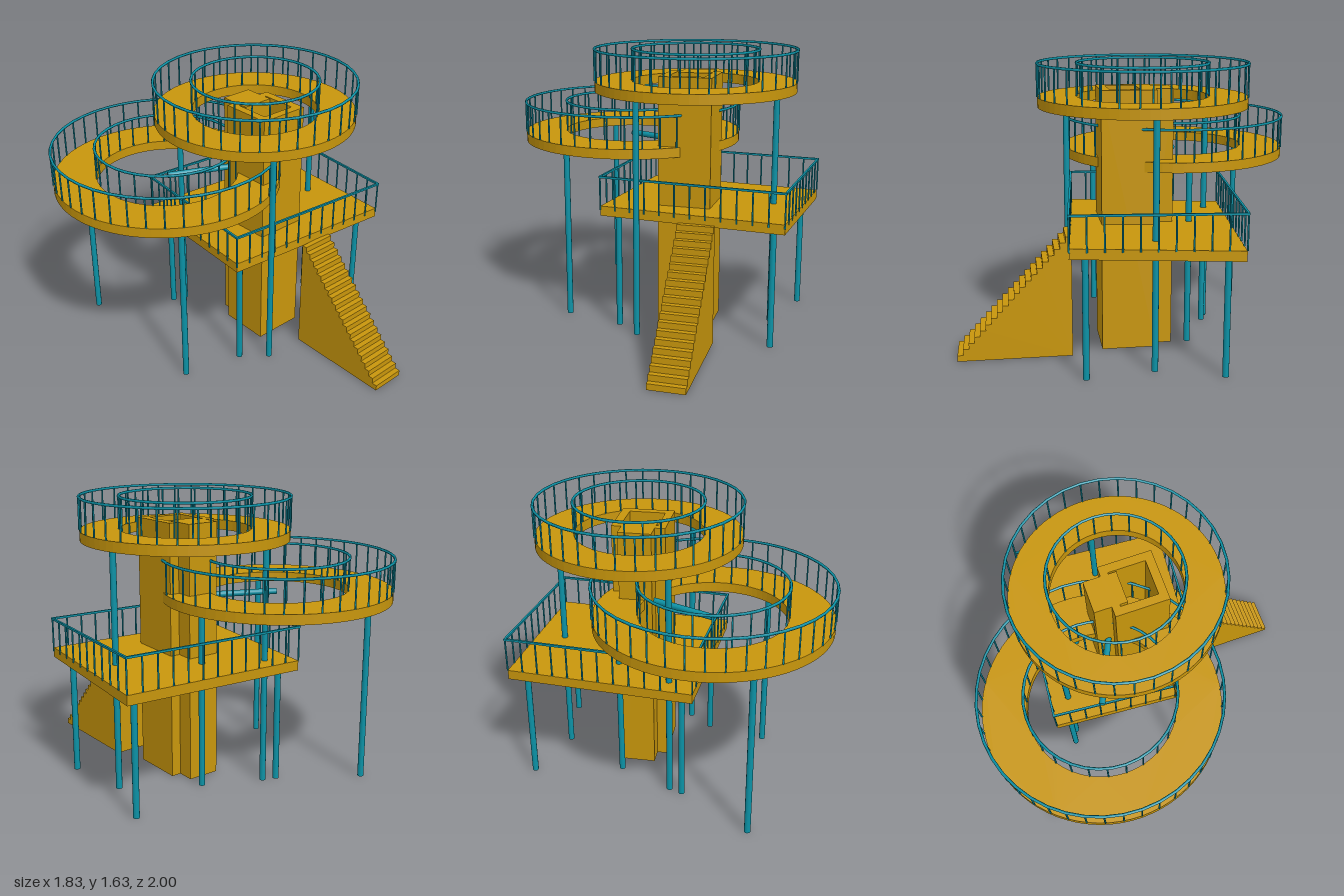
import * as THREE from 'three';

export function createModel() {
  const model = new THREE.Group();
  const gold = new THREE.MeshStandardMaterial({ color: 0xc8960c, flatShading: true });
  gold.name = 'ochre concrete';
  const teal = new THREE.MeshStandardMaterial({ color: 0x0b92a6 });
  teal.name = 'teal steel';

  const add = (name, geometry, material, x, y, z, parent = model) => {
    const mesh = new THREE.Mesh(geometry, material);
    mesh.name = name;
    mesh.position.set(x, y, z);
    parent.add(mesh);
    return mesh;
  };
  // upright round bar from y0 to y1
  const upright = (name, r, sides, x, z, y0, y1, parent) =>
    add(name, new THREE.CylinderGeometry(r, r, y1 - y0, sides), teal, x, (y0 + y1) / 2, z, parent);

  // shape in plan, extruded upward: shape y becomes -z
  const slab = (shape, height, segments = 12) => {
    const g = new THREE.ExtrudeGeometry(shape, { depth: height, bevelEnabled: false, curveSegments: segments });
    return g.rotateX(-Math.PI / 2);
  };
  const rectangle = (Type, x0, x1, z0, z1) =>
    new Type([[x0, -z1], [x1, -z1], [x1, -z0], [x0, -z0]].map(p => new THREE.Vector2(...p)));

  // circular railing: top rail and balusters
  function ringRailing(name, radius, count, y0, y1, parent) {
    const group = new THREE.Group();
    group.name = name;
    parent.add(group);
    const rail = new THREE.TorusGeometry(radius, 0.008, 6, Math.max(36, count)).rotateX(Math.PI / 2);
    add('topRail', rail, teal, 0, y1, 0, group);
    for (let i = 0; i < count; i++) {
      const a = (i / count) * Math.PI * 2;
      upright('baluster', 0.005, 6, radius * Math.cos(a), radius * Math.sin(a), y0, y1, group);
    }
  }

  // ring deck with two railings and three posts
  function ringDeck(name, cx, cz, outer, inner, y0, y1, railY, outerCount, innerCount) {
    const group = new THREE.Group();
    group.name = name;
    group.position.set(cx, 0, cz);
    model.add(group);
    const shape = new THREE.Shape().absarc(0, 0, outer, 0, Math.PI * 2);
    shape.holes.push(new THREE.Path().absarc(0, 0, inner, 0, Math.PI * 2, true));
    add('deck', slab(shape, y1 - y0, 36), gold, 0, y0, 0, group);
    ringRailing('outerRailing', outer, outerCount, y1, railY, group);
    ringRailing('innerRailing', inner, innerCount, y1, railY, group);
    const r = (outer + inner) / 2;
    for (let i = 0; i < 3; i++) {
      const a = (i * Math.PI * 2) / 3;
      upright('post', 0.018, 12, r * Math.cos(a), r * Math.sin(a), 0, y0 + 0.01, group);
    }
  }
  ringDeck('upperRing', 0.22, -0.07, 0.588, 0.37, 1.387, 1.445, 1.627, 36, 24);
  ringDeck('middleRing', -0.24, -0.327, 0.667, 0.417, 1.035, 1.092, 1.274, 42, 26);

  // hollow tower with a solid shaft at the back
  const tower = rectangle(THREE.Shape, 0.062, 0.37, -0.13, 0.18);
  tower.holes.push(rectangle(THREE.Path, 0.11, 0.32, -0.085, 0.13));
  add('tower', slab(tower, 1.49), gold, 0, 0, 0);
  add('rearShaft', new THREE.BoxGeometry(0.19, 1.49, 0.19), gold, 0.217, 0.745, -0.135);

  // level beam from the tower to the centre of the middle ring
  const from = new THREE.Vector3(-0.24, 1.065, -0.327), to = new THREE.Vector3(0.125, 1.065, -0.165);
  const beam = add('beam', new THREE.CylinderGeometry(0.018, 0.018, from.distanceTo(to), 12), teal, 0, 0, 0);
  beam.position.lerpVectors(from, to, 0.5);
  beam.quaternion.setFromUnitVectors(new THREE.Vector3(0, 1, 0), to.clone().sub(from).normalize());

  // lower platform, turned slightly, with its slab gently tilted
  const platform = new THREE.Group();
  platform.name = 'lowerPlatform';
  platform.position.set(0.33, 0, -0.102);
  platform.rotation.y = -0.087;
  model.add(platform);
  const hx = 0.54, hz = 0.455;
  add('platformSlab', new THREE.BoxGeometry(hx * 2, 0.057, hz * 2), gold, 0, 0.707, 0, platform).rotation.x = -0.027;
  for (const sx of [-1, 1]) {
    for (const sz of [-1, 1]) {
      upright('platformPost', 0.018, 12, sx * 0.46, sz * 0.373, 0, 0.7, platform);
    }
  }
  for (const s of [-1, 1]) {
    add('longRail', new THREE.BoxGeometry(hx * 2 + 0.012, 0.012, 0.012), teal, 0, 0.92, s * hz, platform);
    add('shortRail', new THREE.BoxGeometry(0.012, 0.012, hz * 2 + 0.012), teal, s * hx, 0.92, 0, platform);
    for (let i = 0; i < 12; i++) {
      upright('baluster', 0.005, 6, s * hx * (1 - i / 6), s * hz, 0.725, 0.92, platform);
    }
    for (let i = 0; i < 10; i++) {
      upright('baluster', 0.005, 6, s * hx, -s * hz * (1 - i / 5), 0.725, 0.92, platform);
    }
  }

  // solid staircase, drawn as a side profile and extruded across its width
  const steps = 20, run = 0.0322, rise = 0.035;
  const profile = new THREE.Shape().moveTo(0, 0);
  for (let i = 0; i < steps; i++) {
    profile.lineTo(i * run, (i + 1) * rise);
    profile.lineTo((i + 1) * run, (i + 1) * rise);
  }
  profile.lineTo(steps * run, 0);
  const stairs = new THREE.ExtrudeGeometry(profile, { depth: 0.21, bevelEnabled: false });
  add('staircase', stairs.rotateY(Math.PI / 2), gold, 0.227, 0, 1);

  return model;
}
